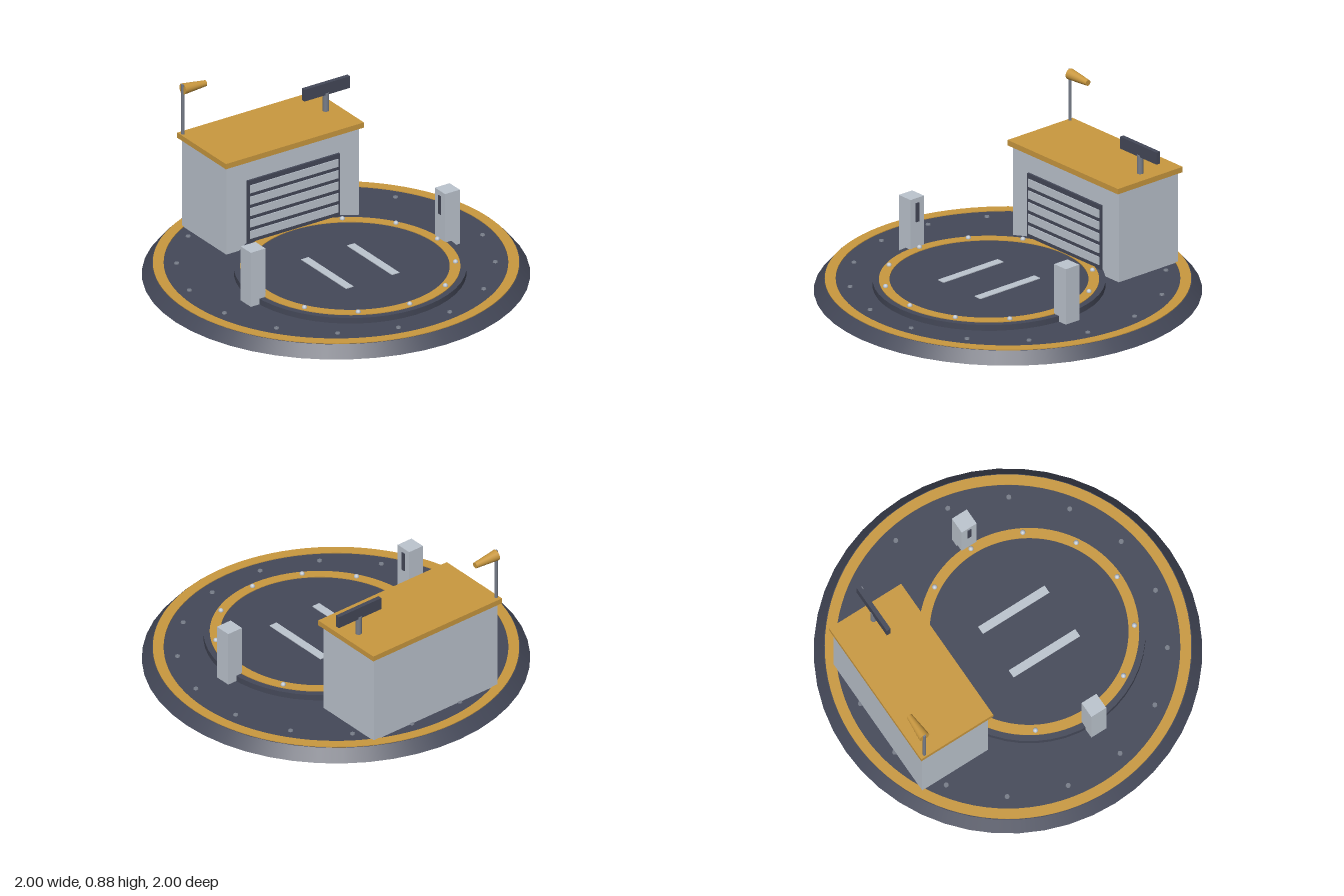
import * as THREE from 'three';

const paint = (name, color) => {
  const m = new THREE.MeshStandardMaterial({ color });
  m.name = name;
  return m;
};

export function createModel() {
  const slate = paint('slate', 0x444858);
  const amber = paint('amber', 0xc9983f);
  const pale = paint('pale grey', 0xbcc4ce);
  const steel = paint('steel', 0x767c88);

  const model = new THREE.Group();
  model.name = 'landingPad';

  const add = (name, geometry, material, x, y, z) => {
    const mesh = new THREE.Mesh(geometry, material);
    mesh.name = name;
    mesh.position.set(x, y, z);
    model.add(mesh);
    return mesh;
  };
  // Box given by its centre in x and z and its bottom and top in y
  const box = (name, material, w, d, x, y0, y1, z) =>
    add(name, new THREE.BoxGeometry(w, y1 - y0, d), material, x, (y0 + y1) / 2, z);
  // Upright round part standing on y0
  const drum = (name, material, rTop, rBottom, x, y0, y1, z, sides = 48) =>
    add(name, new THREE.CylinderGeometry(rTop, rBottom, y1 - y0, sides), material, x, (y0 + y1) / 2, z);
  // Flat painted band with a little thickness
  const band = (name, inner, outer, y, z) => {
    const shape = new THREE.Shape().absarc(0, 0, outer, 0, Math.PI * 2, false);
    shape.holes.push(new THREE.Path().absarc(0, 0, inner, 0, Math.PI * 2, true));
    const g = new THREE.ExtrudeGeometry(shape, { depth: 0.004, bevelEnabled: false, curveSegments: 48 });
    g.rotateX(-Math.PI / 2);
    return add(name, g, amber, 0, y, z);
  };

  const ground = 0.062, deck = 0.094, padZ = 0.13;

  // Platform and raised landing deck
  drum('platform', slate, 0.948, 1, 0, 0, ground, 0);
  band('platformBand', 0.887, 0.943, ground, 0);
  drum('landingDeck', slate, 0.6, 0.6, 0, ground, deck, padZ);
  band('deckBand', 0.512, 0.567, deck, padZ);

  // Touchdown bars
  for (const s of [-1, 1]) box('touchdownBar', pale, 0.046, 0.41, s * 0.143, deck, deck + 0.004, padZ);

  // Deck lights and flush platform lights
  for (let i = 0; i < 12; i++) {
    const a = (i * Math.PI) / 6;
    add('deckLight', new THREE.SphereGeometry(0.014, 12, 8), pale,
      0.543 * Math.sin(a), deck + 0.006, padZ + 0.543 * Math.cos(a));
  }
  for (let i = 0; i < 16; i++) {
    const a = ((i + 0.5) * Math.PI) / 8;
    drum('platformLight', steel, 0.012, 0.014, 0.82 * Math.sin(a), ground, ground + 0.006, 0.82 * Math.cos(a), 12);
  }

  // Side pylons with a dark slot facing the deck
  for (const s of [-1, 1]) {
    box('pylon', pale, 0.092, 0.092, s * 0.605, ground, 0.372, padZ);
    box('pylonSlot', slate, 0.008, 0.022, s * 0.558, 0.24, 0.345, padZ);
  }

  // Hangar and roof
  box('hangar', pale, 0.826, 0.406, 0, ground, 0.565, -0.599);
  box('roof', amber, 0.86, 0.444, 0, 0.565, 0.595, -0.597);

  // Slatted hangar door
  box('doorBacking', slate, 0.574, 0.016, 0, ground, 0.453, -0.392);
  for (let i = 0; i < 5; i++) {
    const y = 0.12 + i * 0.0655;
    box('doorSlat', pale, 0.55, 0.012, 0, y, y + 0.044, -0.385);
  }

  // Wind sock on its pole
  drum('windPole', steel, 0.009, 0.009, -0.415, 0.595, 0.88, -0.79, 12);
  const sock = new THREE.CylinderGeometry(0.016, 0.03, 0.142, 20);
  sock.rotateZ(-Math.PI / 2);
  add('windSock', sock, amber, -0.345, 0.85, -0.79).rotation.z = -0.04;

  // Radar
  drum('radarMast', steel, 0.017, 0.017, 0.347, 0.595, 0.7, -0.6, 16);
  box('radarPanel', slate, 0.284, 0.024, 0.347, 0.69, 0.757, -0.6);

  return model;
}
